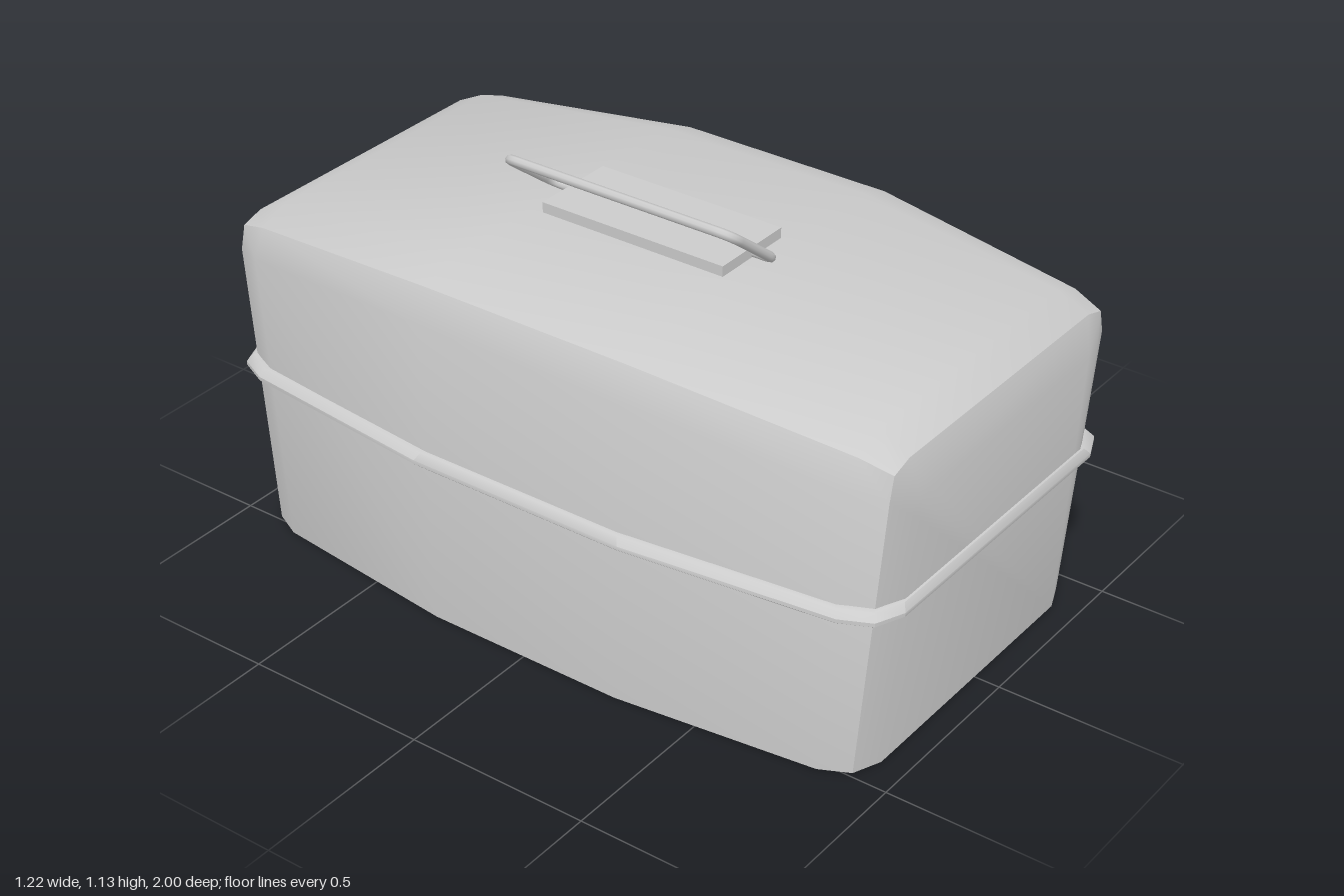
import * as THREE from 'three';
import { toCreasedNormals } from 'three/addons/utils/BufferGeometryUtils.js';

const grey = new THREE.MeshStandardMaterial({ color: 0xcccccc });

function add(group, name, geometry, x = 0, y = 0, z = 0) {
  const mesh = new THREE.Mesh(geometry, grey);
  mesh.name = name;
  mesh.position.set(x, y, z);
  group.add(mesh);
  return mesh;
}

function boxBetween(group, name, [x0, x1], [y0, y1], [z0, z1]) {
  return add(group, name, new THREE.BoxGeometry(x1 - x0, y1 - y0, z1 - z0),
    (x0 + x1) / 2, (y0 + y1) / 2, (z0 + z1) / 2);
}

// Skin a row of closed cross-sections; either join the row into a ring or cap its ends
function loft(sections, ring, crease) {
  const n = sections[0].length, m = sections.length, index = [];
  for (let i = 0; i < (ring ? m : m - 1); i++) {
    for (let j = 0; j < n; j++) {
      const k = (j + 1) % n, next = (i + 1) % m;
      const a = i * n + j, b = i * n + k, c = next * n + k, d = next * n + j;
      index.push(a, b, c, a, c, d);
    }
  }
  if (!ring) {
    const e = (m - 1) * n;
    for (let j = 1; j < n - 1; j++) index.push(0, j + 1, j, e, e + j, e + j + 1);
  }
  const g = new THREE.BufferGeometry();
  g.setAttribute('position', new THREE.Float32BufferAttribute(sections.flat(2), 3));
  g.setIndex(index);
  return toCreasedNormals(g, crease);
}

// Half of the stations along the length; corner is the [inset, drop] list of the lid edge
const stations = [
  { z: 0.3, w: 0.567, top: 0.957, corner: [[0, 0.12], [0.04, 0.037], [0.142, 0]] },
  { z: 0.885, w: 0.503, top: 0.9, corner: [[0, 0.11], [0.035, 0.035], [0.12, 0]] },
  { z: 0.967, w: 0.465, top: 0.858, corner: [[0, 0.08], [0.015, 0.018], [0.075, 0]] },
  { z: 1.0, w: 0.39, top: 0.77, corner: [[0, 0.06], [0.008, 0.015], [0.045, 0]] },
];
const allStations = [
  ...stations.map((s) => ({ ...s, z: -s.z })).reverse(),
  ...stations,
];
// The end walls lean outward from the floor up
const lean = (y) => 0.93 + 0.07 * Math.min(y / 0.77, 1);

function bodySection({ z, w, top, corner }) {
  const right = [[w, 0], ...corner.map(([inset, drop]) => [w - inset, top - drop])];
  const left = right.map(([x, y]) => [-x, y]).reverse();
  return [...right, ...left].map(([x, y]) => [x, y, z * lean(y)]);
}

// Raised bead that runs round the seam between box and lid
function rimSections() {
  const right = allStations.map((s) => [s.w, s.z * lean(0.46)]);
  const left = right.map(([x, z]) => [-x, z]).reverse();
  const profile = [[-0.01, 0.44], [0.4, 0.442], [1, 0.455], [1, 0.465], [0.4, 0.483], [-0.01, 0.485]];
  return [...right, ...left].map(([x, z]) =>
    profile.map(([out, y]) => [x + Math.sign(x) * 0.024 * out, y, z + Math.sign(z) * 0.018 * out]));
}

// Plate in the z-y plane, thickened towards +x
function sidePlate(halfOutline, thickness) {
  const outline = [...halfOutline, ...halfOutline.map(([z, y]) => [-z, y]).reverse()];
  const shape = new THREE.Shape(outline.map(([z, y]) => new THREE.Vector2(-z, y)));
  const g = new THREE.ExtrudeGeometry(shape, { depth: thickness, bevelEnabled: false });
  return g.rotateY(Math.PI / 2);
}

function createLatch() {
  const latch = new THREE.Group();
  latch.name = 'latch';
  boxBetween(latch, 'latchUpperPlate', [0.54, 0.562], [0.5, 0.602], [-0.125, 0.125]);
  add(latch, 'latchLowerPlate', sidePlate([
    [0.125, 0.425], [0.125, 0.345], [0.085, 0.285], [0.075, 0.2], [0.045, 0.17], [0, 0.158],
  ], 0.02), 0.54, 0, 0);
  add(latch, 'latchHook', sidePlate([
    [0.055, 0.34], [0.05, 0.26], [0.04, 0.19], [0, 0.16],
  ], 0.04), 0.55, 0, 0);
  boxBetween(latch, 'latchNeck', [0.555, 0.585], [0.32, 0.595], [-0.035, 0.035]);
  boxBetween(latch, 'latchLever', [0.58, 0.597], [0.335, 0.607], [-0.055, 0.055]);
  // Central rib of the lever, sloping away at its lower end
  const rib = new THREE.Shape([[0.59, 0.3], [0.61, 0.335], [0.61, 0.602], [0.59, 0.602]]
    .map(([x, y]) => new THREE.Vector2(x, y)));
  add(latch, 'latchRib',
    new THREE.ExtrudeGeometry(rib, { depth: 0.05, bevelEnabled: false }), 0, 0, -0.025);
  return latch;
}

// Bent wire handle, folded over to one side
function createHandle() {
  const low = [-0.018, 0.968], high = [-0.207, 1.113];
  const at = (t, z) => new THREE.Vector3(
    low[0] + (high[0] - low[0]) * t, low[1] + (high[1] - low[1]) * t, z);
  const path = new THREE.CurvePath();
  const half = 0.335, r = 0.045, rt = 0.19;
  const line = (a, b) => path.add(new THREE.LineCurve3(a, b));
  const bend = (a, b, c) => path.add(new THREE.QuadraticBezierCurve3(a, b, c));
  line(at(0, -0.2), at(0, -half + r));
  bend(at(0, -half + r), at(0, -half), at(rt, -half));
  line(at(rt, -half), at(1 - rt, -half));
  bend(at(1 - rt, -half), at(1, -half), at(1, -half + r));
  line(at(1, -half + r), at(1, half - r));
  bend(at(1, half - r), at(1, half), at(1 - rt, half));
  line(at(1 - rt, half), at(rt, half));
  bend(at(rt, half), at(0, half), at(0, half - r));
  line(at(0, half - r), at(0, 0.2));
  return new THREE.TubeGeometry(path, 160, 0.0125, 8, false);
}

export function createModel() {
  const model = new THREE.Group();
  model.name = 'toolbox';
  const cx = -0.022;
  add(model, 'body', loft(allStations.map(bodySection), false, 0.62), cx);
  add(model, 'seamRim', loft(rimSections(), true, 0.7), cx);
  boxBetween(model, 'handlePlate', [-0.145, 0.095], [0.95, 0.985], [-0.27, 0.27]);
  add(model, 'handle', createHandle());
  model.add(createLatch());
  return model;
}
